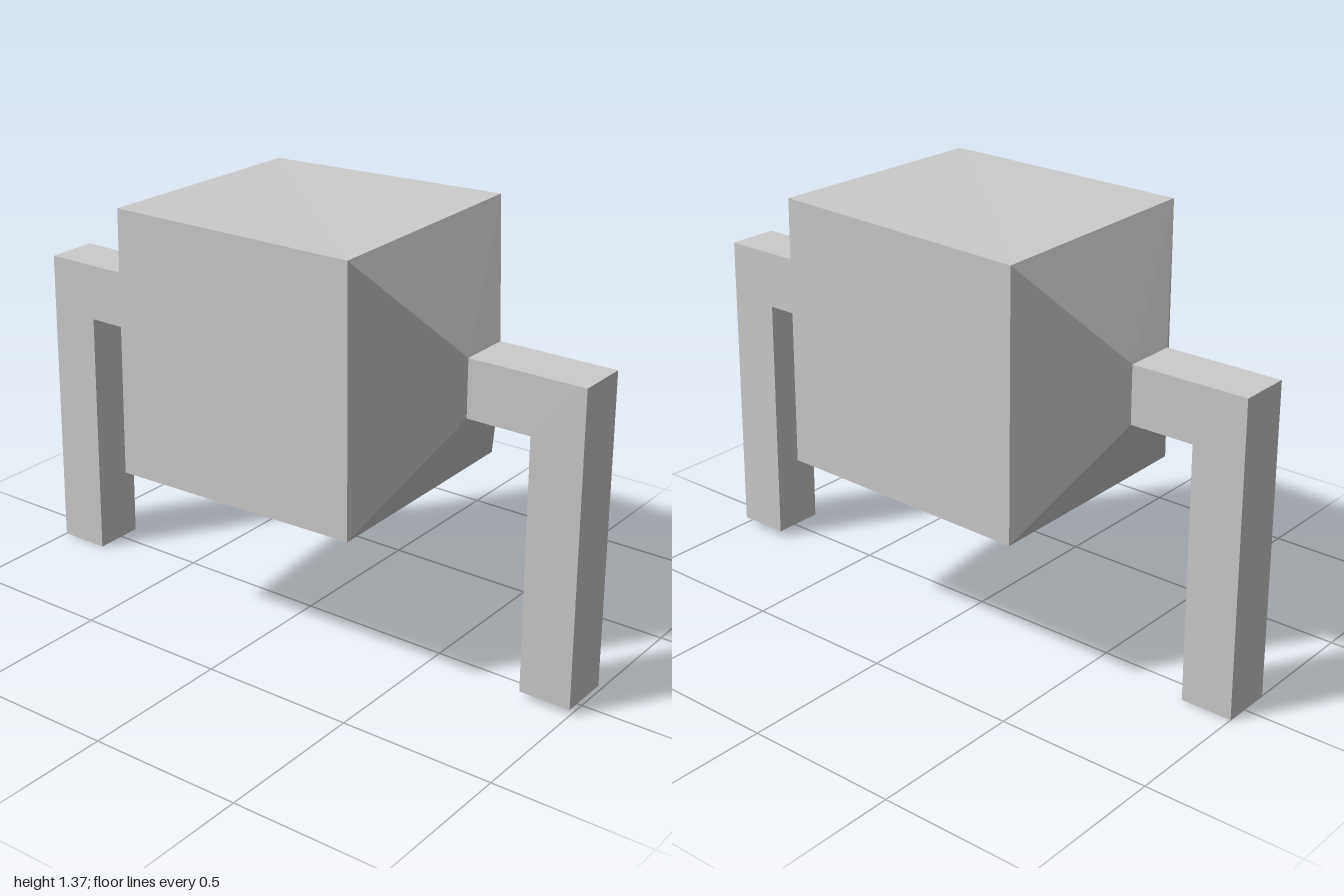
import * as THREE from 'three';

const material = () => new THREE.MeshStandardMaterial({ color: 0xcccccc, flatShading: true });

// Skin a run of four-cornered rings, front to back.
// Corners run: top left, top right, bottom right, bottom left.
function loft(rings) {
  const pos = [];
  for (let i = 0; i < rings.length - 1; i++) {
    for (let j = 0; j < 4; j++) {
      const k = (j + 1) % 4;
      const a = rings[i][j], b = rings[i][k];
      const c = rings[i + 1][k], d = rings[i + 1][j];
      pos.push(...a, ...b, ...c, ...a, ...c, ...d);
    }
  }
  const g = new THREE.BufferGeometry();
  g.setAttribute('position', new THREE.Float32BufferAttribute(pos, 3));
  g.computeVertexNormals();
  return g;
}

const ring = (z, corners) => corners.map(([x, y]) => [x, y, z]);

// Bent leg: L profile in the z-y plane, extruded across x, leaning sideways.
function bentLeg(dir, top, foot, lean) {
  const under = top - 0.185, width = 0.17;
  const shape = new THREE.Shape([
    [0.62, top], [1, top], [1, foot], [0.83, foot], [0.83, under], [0.62, under],
  ].map(([z, y]) => new THREE.Vector2(z * dir, y)));
  const g = new THREE.ExtrudeGeometry(shape, { depth: width, bevelEnabled: false });
  g.translate(0, 0, -width / 2).rotateY(-Math.PI / 2);
  const p = g.attributes.position;
  for (let i = 0; i < p.count; i++) {
    p.setX(i, p.getX(i) + lean * (top - p.getY(i)) / (top - foot));
  }
  g.computeVertexNormals();
  return g;
}

export function createModel() {
  const model = new THREE.Group();
  const add = (name, geometry) => {
    const mesh = new THREE.Mesh(geometry, material());
    mesh.name = name;
    model.add(mesh);
  };

  // Boxy body, slightly twisted, tapering to a neck at each end
  add('body', loft([
    ring(0.62, [[-0.085, 1.03], [0.085, 1.03], [0.087, 0.845], [-0.083, 0.845]]),
    ring(0.42, [[-0.39, 1.355], [0.385, 1.365], [0.393, 0.52], [-0.38, 0.51]]),
    ring(-0.42, [[-0.385, 1.35], [0.382, 1.34], [0.38, 0.495], [-0.397, 0.503]]),
    ring(-0.62, [[-0.085, 1.015], [0.085, 1.015], [0.083, 0.83], [-0.087, 0.83]]),
  ]));

  add('frontLeg', bentLeg(1, 1.03, 0.02, 0.012));
  add('backLeg', bentLeg(-1, 1.015, 0, -0.012));
  return model;
}
